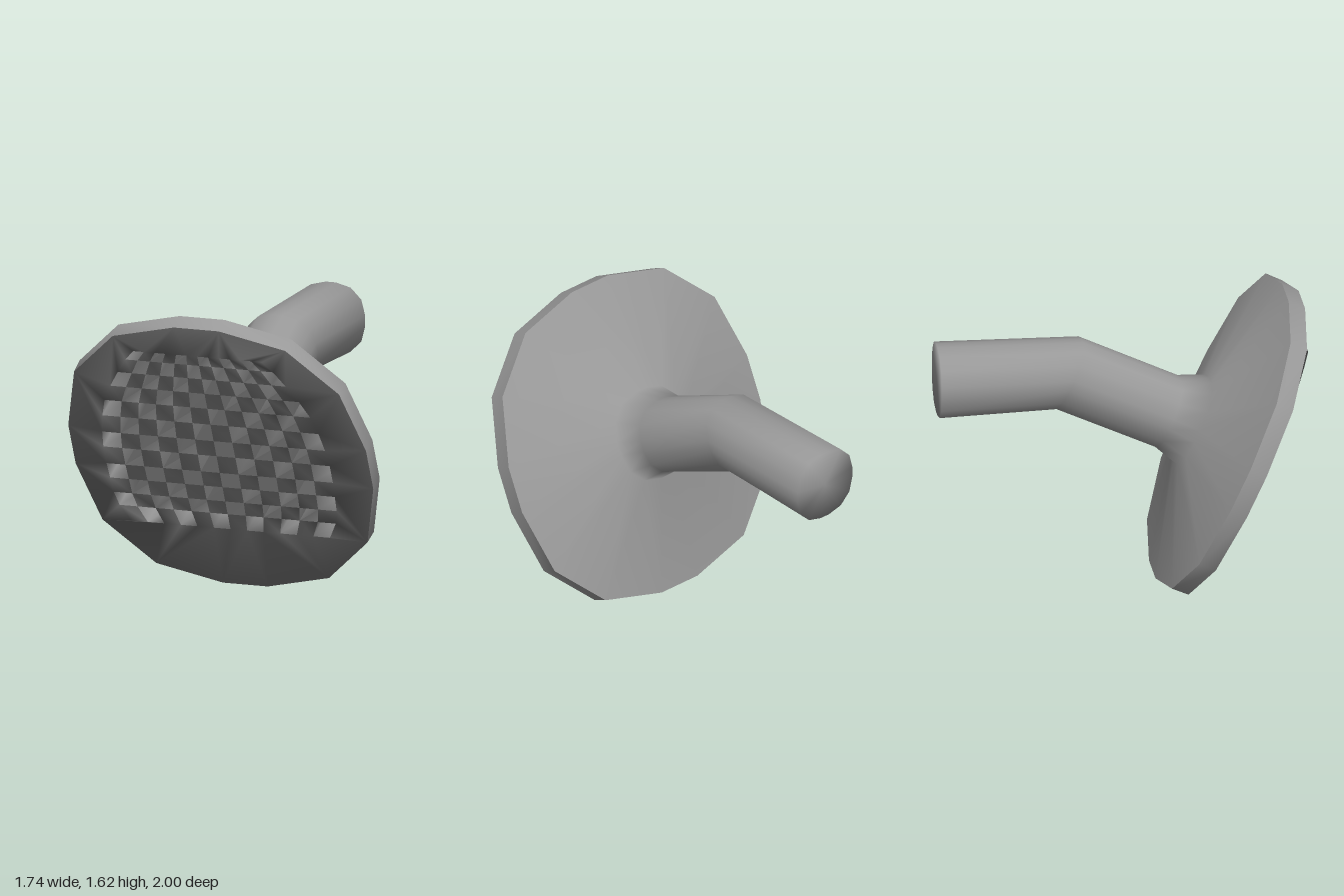
import * as THREE from 'three';
import { mergeVertices } from 'three/addons/utils/BufferGeometryUtils.js';

// One quadrant of the rounded sixteen-sided outline, mirrored into a full loop
const quadrant = [[1, 0.15], [0.89, 0.58], [0.58, 0.89], [0.15, 1]];
const mirrored = [...quadrant].reverse();
const outline = [
  ...quadrant,
  ...mirrored.map(([u, v]) => [-u, v]),
  ...quadrant.map(([u, v]) => [-u, -v]),
  ...mirrored.map(([u, v]) => [u, -v]),
];
const sides = outline.length;

// Cross-sections from rim to pipe end: top z, top y, bottom z, bottom y
const sections = [
  [1.0, 1.575, 0.27, 0.0],    // rim, front edge
  [0.91, 1.62, 0.18, 0.04],   // rim, back edge
  [0.5, 1.13, 0.29, 0.68],    // neck
  [0.34, 1.145, 0.18, 0.78],  // start of pipe
  [-0.2, 1.4, -0.37, 1.035],  // bend
  [-1, 1.415, -1, 1.015],     // end of pipe
  [-1, 1.215, -1, 1.215],     // middle of end cap
];

function ring([tz, ty, bz, by]) {
  const cz = (tz + bz) / 2, cy = (ty + by) / 2;
  const dz = (tz - bz) / 2, dy = (ty - by) / 2;
  const r = Math.hypot(dz, dy);
  return outline.map(([u, v]) => new THREE.Vector3(u * r, cy + v * dy, cz + v * dz));
}

// Welds loose triangles into a smooth surface
function smoothGeometry(triangles) {
  const geometry = mergeVertices(new THREE.BufferGeometry().setFromPoints(triangles), 1e-4);
  geometry.computeVertexNormals();
  return geometry;
}

function quad(list, a, b, c, d) {
  list.push(a, b, c, a, c, d);
}

// Skin over consecutive cross-sections
function loft(part) {
  const rings = part.map(ring);
  const tris = [];
  for (let k = 0; k < rings.length - 1; k++) {
    for (let i = 0; i < sides; i++) {
      const j = (i + 1) % sides;
      quad(tris, rings[k][i], rings[k + 1][i], rings[k + 1][j], rings[k][j]);
    }
  }
  return smoothGeometry(tris);
}

// Raised barrel-shaped plate with a checkerboard of square nozzles
function faceGeometry() {
  const [tz, ty, bz, by] = sections[0];
  const centre = new THREE.Vector3(0, (ty + by) / 2, (tz + bz) / 2);
  const up = new THREE.Vector3(0, ty - by, tz - bz).normalize();
  const out = new THREE.Vector3(1, 0, 0).cross(up);

  const raise = 0.05, depth = 0.165, columns = 12;
  const rowY = [1.42, 1.363, 1.28, 1.19, 1.098, 1.0, 0.898, 0.805, 0.702, 0.614, 0.526, 0.447, 0.355];
  const halfWidth = [0.375, 0.43, 0.49, 0.55, 0.6, 0.63, 0.65, 0.66, 0.66, 0.655, 0.65, 0.63, 0.58];
  const rows = rowY.length - 1;
  const plateY = centre.y + raise * out.y;
  const flat = ([i, j]) => [halfWidth[j] * (2 * i / columns - 1), (rowY[j] - plateY) / up.y];
  const point = (cell, w) => {
    const [u, v] = flat(cell);
    return centre.clone().addScaledVector(up, v).addScaledVector(out, w).add(new THREE.Vector3(u, 0, 0));
  };

  const dark = [], walls = [];
  for (let j = 0; j < rows; j++) {
    for (let i = 0; i < columns; i++) {
      const corners = [[i, j], [i, j + 1], [i + 1, j + 1], [i + 1, j]];
      const top = corners.map((c) => point(c, raise));
      if ((i + j) % 2) {
        quad(dark, ...top);
        continue;
      }
      // nozzle floor and walls
      const floor = corners.map((c) => point(c, raise - depth));
      quad(dark, ...floor);
      for (let k = 0; k < 4; k++) {
        const m = (k + 1) % 4;
        quad(walls, top[k], top[m], floor[m], floor[k]);
      }
    }
  }

  // Sloping surround, joining the plate edge to the rim by angle
  const edge = [];
  for (let j = 0; j < rows; j++) edge.push([0, j]);
  for (let i = 0; i < columns; i++) edge.push([i, rows]);
  for (let j = rows; j > 0; j--) edge.push([columns, j]);
  for (let i = columns; i > 0; i--) edge.push([i, 0]);
  const rim = ring(sections[0]);
  const nearest = (cell) => {
    const [x, y] = flat(cell);
    const closeness = outline.map(([u, v]) => (u * x + v * y) / Math.hypot(u, v));
    return closeness.indexOf(Math.max(...closeness));
  };
  edge.forEach((cell, k) => {
    const next = edge[(k + 1) % edge.length];
    const inner = point(next, raise);
    let s = nearest(cell);
    dark.push(rim[s], inner, point(cell, raise));
    for (const last = nearest(next); s !== last; s = (s + 1) % sides) {
      dark.push(rim[s], rim[(s + 1) % sides], inner);
    }
  });

  const geometry = smoothGeometry([...dark, ...walls]);
  geometry.addGroup(0, dark.length, 0);
  geometry.addGroup(dark.length, walls.length, 1);
  return geometry;
}

export function createModel() {
  const metal = new THREE.MeshStandardMaterial({ color: 0x999999 });
  metal.name = 'grey metal';
  const rubber = new THREE.MeshStandardMaterial({ color: 0x666666 });
  rubber.name = 'dark grey';
  const group = new THREE.Group();
  group.name = 'showerHead';
  const add = (name, geometry, material) => {
    const mesh = new THREE.Mesh(geometry, material);
    mesh.name = name;
    group.add(mesh);
  };
  add('rim', loft(sections.slice(0, 2)), metal);
  add('coneAndPipe', loft(sections.slice(1)), metal);
  add('sprayFace', faceGeometry(), [rubber, metal]);
  return group;
}
